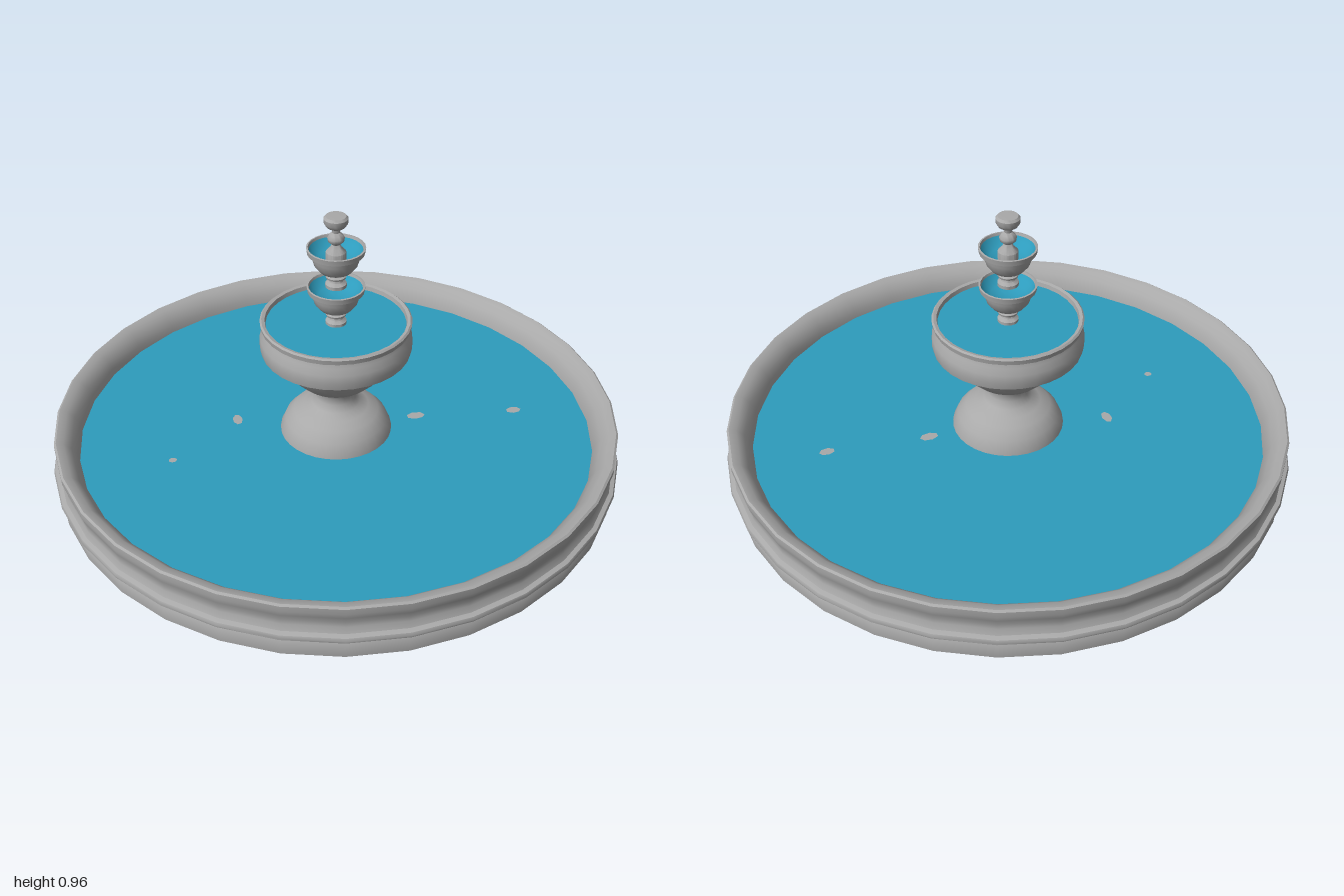
import * as THREE from 'three';
import { toCreasedNormals } from 'three/addons/utils/BufferGeometryUtils.js';

export function createModel() {
  const fountain = new THREE.Group();
  fountain.name = 'fountain';
  const stone = new THREE.MeshStandardMaterial({ name: 'stone', color: 0xa9a9a9 });
  const water = new THREE.MeshStandardMaterial({ name: 'water', color: 0x2e9cbd });

  // Turned part from [radius, height] pairs, running up the outside and back down the inside
  function turned(name, points, material, y = 0, sides = 32) {
    const profile = points.map(([r, h]) => new THREE.Vector2(r, h));
    const geometry = toCreasedNormals(new THREE.LatheGeometry(profile, sides), 0.75);
    const mesh = new THREE.Mesh(geometry, material);
    mesh.name = name;
    mesh.position.y = y;
    fountain.add(mesh);
    return mesh;
  }

  // Wide ground pool with moulded wall
  turned('poolBasin', [
    [0, 0], [0.985, 0], [0.988, 0.045], [0.978, 0.06], [0.985, 0.066], [0.998, 0.07],
    [1, 0.078], [0.996, 0.087], [0.982, 0.092], [0.974, 0.112], [0.973, 0.13],
    [0.982, 0.155], [0.987, 0.175], [0.987, 0.195], [0.98, 0.2], [0.955, 0.194],
    [0.93, 0.17], [0.912, 0.14], [0.905, 0.1], [0, 0.1],
  ], stone);
  turned('poolWater', [[0.908, 0.115], [0, 0.115]], water);

  // Pedestal and large bowl
  turned('pedestalBowl', [
    [0.2, 0.1], [0.197, 0.125], [0.18, 0.165], [0.15, 0.197], [0.115, 0.214], [0.085, 0.23],
    [0.072, 0.255], [0.07, 0.28], [0.083, 0.302], [0.125, 0.325], [0.165, 0.365],
    [0.192, 0.41], [0.207, 0.433], [0.238, 0.438], [0.258, 0.45], [0.263, 0.475],
    [0.261, 0.505], [0.25, 0.528], [0.246, 0.541], [0.257, 0.548], [0.26, 0.565],
    [0.254, 0.57], [0.243, 0.567], [0.238, 0.54], [0, 0.54],
  ], stone);
  turned('largeBowlWater', [[0.24, 0.552], [0, 0.552]], water);

  // Two small tiers, each a ringed stem carrying a bowl
  [['lower', 0.55], ['upper', 0.695]].forEach(([tier, y]) => {
    turned(tier + 'Stem', [
      [0.036, 0], [0.036, 0.012], [0.024, 0.02], [0.022, 0.028], [0.034, 0.034],
      [0.036, 0.041], [0.028, 0.046], [0.028, 0.06],
    ], stone, y, 24);
    turned(tier + 'Bowl', [
      [0, 0.05], [0.03, 0.05], [0.055, 0.062], [0.073, 0.084], [0.08, 0.107],
      [0.083, 0.121], [0.096, 0.127], [0.099, 0.146], [0.093, 0.147], [0.09, 0.138],
    ], stone, y, 24);
    turned(tier + 'Water', [
      [0.091, 0.139], [0.08, 0.122], [0.06, 0.108], [0.03, 0.1], [0, 0.098],
    ], water, y, 24);
  });

  // Finial standing in the top bowl
  turned('finial', [
    [0.034, 0.788], [0.034, 0.825], [0.02, 0.84], [0.014, 0.853], [0.027, 0.865], [0.029, 0.876],
    [0.022, 0.888], [0.013, 0.896], [0.015, 0.908], [0.032, 0.918], [0.04, 0.931],
    [0.041, 0.947], [0.034, 0.955], [0, 0.956],
  ], stone, 0, 24);

  // Small flecks of stone breaking the pool surface
  [[-0.34, -0.11, 0.018, 0.03], [-0.595, 0.072, 0.015, 0.013],
    [0.295, 0.01, 0.034, 0.02], [0.653, 0.057, 0.028, 0.018]].forEach(([x, z, rx, rz]) => {
    const fleck = new THREE.Mesh(new THREE.CircleGeometry(1, 7), stone);
    fleck.name = 'stoneFleck';
    fleck.rotation.x = -Math.PI / 2;
    fleck.scale.set(rx, rz, 1);
    fleck.position.set(x, 0.117, z);
    fountain.add(fleck);
  });

  return fountain;
}
